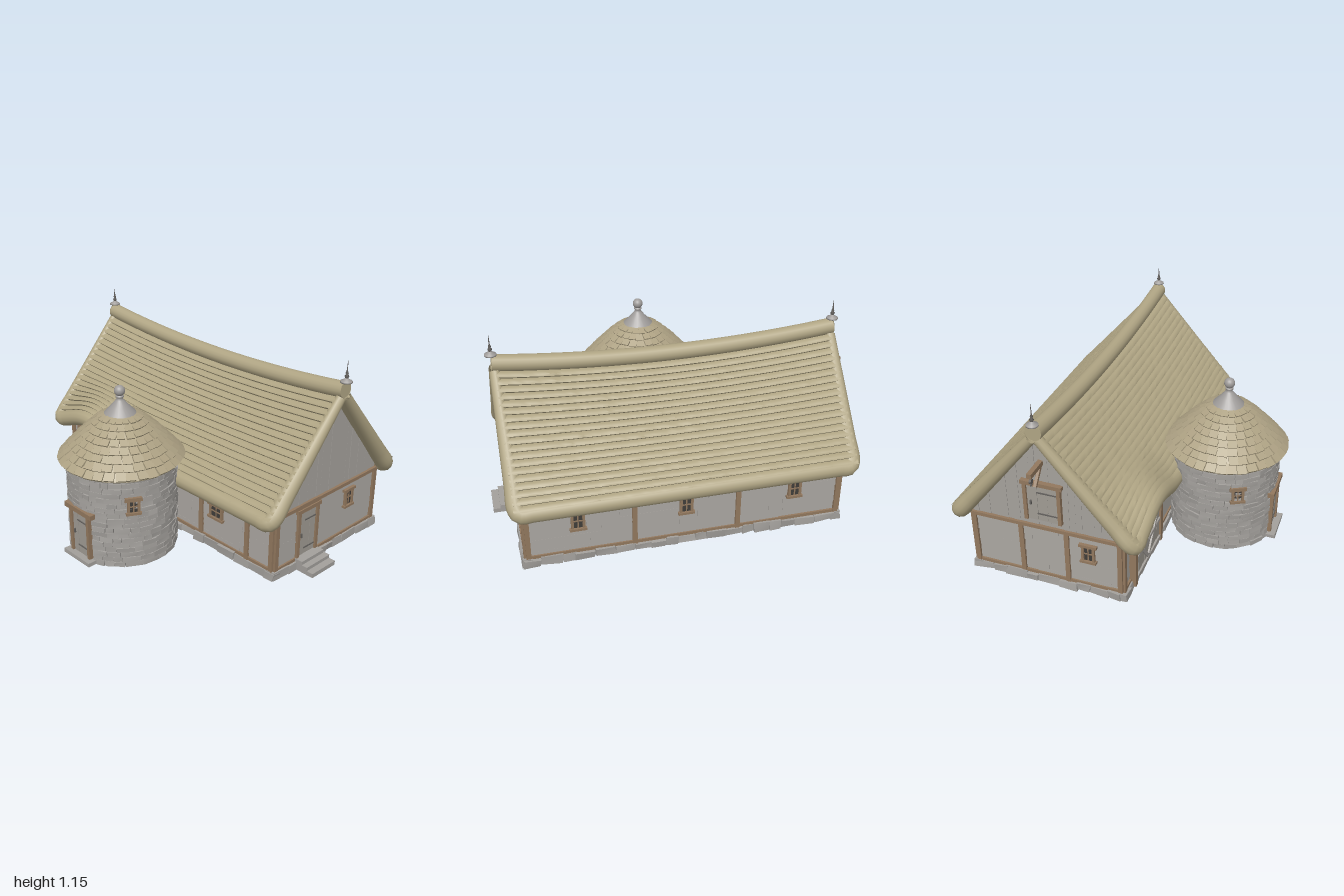
import * as THREE from 'three';
import { mergeGeometries, toCreasedNormals } from 'three/addons/utils/BufferGeometryUtils.js';

const mat = (name, color, side = THREE.FrontSide) =>
  Object.assign(new THREE.MeshStandardMaterial({ color, side }), { name });
const M = {
  thatch: mat('thatch', 0xb0a584, THREE.DoubleSide),
  shingle: mat('shingle', 0xaea284),
  stone: mat('stone', 0xa3a09c),
  mortar: mat('mortar', 0x8b8783, THREE.DoubleSide),
  plank: mat('weathered plank', 0xa5a19c),
  door: mat('door wood', 0xa09b93),
  timber: mat('timber', 0x92785e),
  lead: mat('lead', 0xa09d9b),
  iron: mat('iron', 0x63605d),
  dark: mat('dark glass', 0x403d3a),
};

let seed = 7;
const rnd = (a = 0, b = 1) => a + (b - a) * ((seed = (seed * 16807) % 2147483647) / 2147483647);

// merges the geometries of one part into a single mesh
function part(parent, name, material, geos) {
  const list = [].concat(geos).map(g => {
    const n = g.index ? g.toNonIndexed() : g;
    n.deleteAttribute('uv');
    return n;
  });
  const mesh = new THREE.Mesh(mergeGeometries(list), material);
  mesh.name = name;
  parent.add(mesh);
}
const box = (w, h, d, x = 0, y = 0, z = 0) => new THREE.BoxGeometry(w, h, d).translate(x, y, z);
const span = (x0, x1, y0, y1, z0, z1) =>
  box(x1 - x0, y1 - y0, z1 - z0, (x0 + x1) / 2, (y0 + y1) / 2, (z0 + z1) / 2);
const lathe = (prof, sides) => new THREE.LatheGeometry(prof.map(p => new THREE.Vector2(...p)), sides);
// flat bar between two points on a wall
const bar = (x0, y0, x1, y1, w, z) =>
  box(Math.hypot(x1 - x0, y1 - y0), w, 0.012).rotateZ(Math.atan2(y1 - y0, x1 - x0)).translate((x0 + x1) / 2, (y0 + y1) / 2, z);
// rough block with its eight corners nudged
function rock(w, h, d, j) {
  const g = box(w, h, d), p = g.attributes.position;
  const nudge = Array.from({ length: 8 }, () => [rnd(-j, j), rnd(-j, j), rnd(-j, j)]);
  for (let i = 0; i < p.count; i++) {
    const n = nudge[(p.getX(i) > 0) + 2 * (p.getY(i) > 0) + 4 * (p.getZ(i) > 0)];
    p.setXYZ(i, p.getX(i) + n[0], p.getY(i) + n[1], p.getZ(i) + n[2]);
  }
  g.computeVertexNormals();
  return g;
}

// ---- thatched roof ----
const RZ = -0.265, RUN = 0.473;
const sag = x => 0.055 * (1 - (x / 0.94) ** 2);
const rad = t => 0.028 + 0.022 * t;
function roofPoint(x, t, h, side) {
  const bump = Math.abs(x + 0.59) < 0.36 ? Math.cos((x + 0.59) / 0.36 * Math.PI / 2) ** 2 : 0;
  const lift = side > 0 ? 0.085 * bump * THREE.MathUtils.smoothstep(t, 0.45, 1) : 0;
  return new THREE.Vector3(x, 0.947 - 0.562 * t - sag(x) * (1 - t) + lift + 0.644 * h,
    RZ + side * (0.02 + RUN * t + 0.765 * h));
}
function grid(rows, cols, fn) {
  const pos = [], idx = [];
  for (let r = 0; r <= rows; r++) for (let c = 0; c <= cols; c++) {
    pos.push(...fn(r, c / cols).toArray());
    if (r < rows && c < cols) {
      const a = r * (cols + 1) + c, b = a + cols + 1;
      idx.push(a, b, a + 1, b, b + 1, a + 1);
    }
  }
  const g = new THREE.BufferGeometry();
  g.setAttribute('position', new THREE.Float32BufferAttribute(pos, 3));
  g.setIndex(idx);
  g.computeVertexNormals();
  return g;
}
// tube whose radius follows a rule
function roll(points, radius, seg, sides = 12) {
  const curve = new THREE.CatmullRomCurve3(points, false, 'centripetal');
  const g = new THREE.TubeGeometry(curve, seg, 1, sides), p = g.attributes.position, v = new THREE.Vector3();
  for (let i = 0; i < p.count; i++) {
    const c = curve.getPointAt(Math.floor(i / (sides + 1)) / seg);
    v.fromBufferAttribute(p, i).sub(c).multiplyScalar(radius(c)).add(c);
    p.setXYZ(i, v.x, v.y, v.z);
  }
  return g;
}
function buildRoof(root) {
  const roof = new THREE.Group();
  roof.name = 'roof';
  root.add(roof);
  const courses = 19, at = [0.02, 0.3, 0.7, 0.98], rib = [-0.016, -0.005, 0, -0.002];
  for (const side of [1, -1]) {
    const label = side > 0 ? 'front' : 'back';
    const top = grid(courses * 4 - 1, 60, (r, u) => {
      const k = r % 4, t = (Math.floor(r / 4) + at[k]) / courses;
      return roofPoint(-0.915 + 1.83 * u, t, rad(t) + rib[k] + rnd(-0.0015, 0.0015), side);
    });
    part(roof, label + 'Thatch', M.thatch, toCreasedNormals(top, 0.8));
    part(roof, label + 'ThatchUnderside', M.thatch,
      grid(6, 60, (r, u) => roofPoint(-0.905 + 1.81 * u, r / 6, -0.9 * rad(r / 6), side)));
    // rolled verge and eave in one sweep
    const path = [], verge = [0, 0.2, 0.4, 0.6, 0.8, 0.96];
    for (const t of verge) path.push(roofPoint(-0.945 + rad(t), t, 0, side));
    for (let i = -15; i <= 15; i++) path.push(roofPoint(i * 0.0585, 1, 0, side));
    for (const t of verge.reverse()) path.push(roofPoint(0.945 - rad(t), t, 0, side));
    part(roof, label + 'RolledEdge', M.thatch,
      roll(path, c => rad(THREE.MathUtils.clamp((Math.abs(c.z - RZ) - 0.02) / RUN, 0, 1)), 200));
  }
  // ridge roll
  const ridge = [];
  for (let i = 0; i <= 14; i++) {
    const x = -0.93 + i * 1.86 / 14;
    ridge.push(new THREE.Vector3(x, 0.988 - sag(x), RZ));
  }
  const caps = [1, -1].map(s => new THREE.CircleGeometry(0.044, 16).rotateY(s * Math.PI / 2).translate(s * 0.93, 0.988, RZ));
  part(roof, 'ridgeRoll', M.thatch, [roll(ridge, () => 0.044, 40, 16), ...caps]);
  // finials
  const base = [[0, 0], [0.032, 0.002], [0.031, 0.01], [0.014, 0.018], [0.009, 0.026], [0, 0.028]];
  const spike = [[0.006, 0.02], [0.012, 0.036], [0.006, 0.045], [0.008, 0.052], [0.004, 0.062], [0, 0.122]];
  for (const s of [1, -1]) {
    const finial = new THREE.Group();
    finial.name = s > 0 ? 'leftFinial' : 'rightFinial';
    finial.position.set(s * 0.93, 1.027, RZ);
    part(finial, 'base', M.lead, lathe(base, 16));
    part(finial, 'spike', M.iron, lathe(spike, 10));
    roof.add(finial);
  }
}

// ---- wall fittings; x runs along the wall, z points outward ----
function windowAt(parent, x, y, w, h, z = 0.012) {
  const g = new THREE.Group();
  g.name = 'window';
  g.position.set(x, y, z);
  part(g, 'pane', M.dark, box(w, h, 0.008));
  part(g, 'frame', M.timber, [
    box(w + 0.05, 0.016, 0.03, 0, h / 2 + 0.006), box(w + 0.04, 0.014, 0.034, 0, -h / 2 - 0.005),
    box(0.014, h, 0.024, -w / 2 - 0.005), box(0.014, h, 0.024, w / 2 + 0.005),
    box(0.007, h, 0.014), box(w, 0.007, 0.014)]);
  parent.add(g);
}
function doorAt(parent, x, y0, w, h, z) {
  const g = new THREE.Group();
  g.name = 'door';
  g.position.set(x, y0, z);
  part(g, 'leaf', M.door, [-1, 0, 1].map(i => box(w / 3 - 0.001, h, 0.013 + 0.002 * i * i, i * w / 3, h / 2)));
  part(g, 'hinges', M.iron, [0.2, 0.8].map(k => box(w * 0.65, 0.006, 0.006, w * 0.15, h * k, 0.009)).concat(box(0.008, 0.025, 0.012, -w * 0.38, h * 0.5, 0.01)));
  part(g, 'frame', M.timber, [box(0.02, h, 0.036, -w / 2 - 0.01, h / 2), box(0.02, h, 0.036, w / 2 + 0.01, h / 2), box(w + 0.06, 0.022, 0.042, 0, h + 0.011)]);
  parent.add(g);
}
function wall(root, name, half, segments, posts, pos, rot) {
  const g = new THREE.Group();
  g.name = name;
  g.position.set(...pos);
  g.rotation.y = rot;
  root.add(g);
  const planks = [], stones = [], n = 9, hh = 0.32 / n;
  for (const [a, b] of segments) {
    planks.push(span(a, b, 0.045, 0.385, -0.03, -0.006));
    for (let i = 0; i < n; i++) for (let x = a; x < b - 0.001;) {
      const e = b - x < 0.4 ? b : Math.min(b, x + rnd(0.3, 0.6));
      planks.push(box(e - x - 0.001, hh - 0.001, 0.016).rotateX(-0.1).translate((x + e) / 2, 0.05 + (i + 0.5) * hh, rnd(-0.002, 0.002)));
      x = e;
    }
  }
  part(g, 'planking', M.plank, planks);
  for (let x = -half - 0.015; x < half;) {
    const w = Math.min(rnd(0.06, 0.13), half + 0.015 - x), h = rnd(0.038, 0.05);
    stones.push(rock(w, h, 0.055, 0.006).translate(x + w / 2, h / 2 + 0.005, rnd(-0.006, 0.006)));
    x += w;
  }
  part(g, 'foundationStones', M.stone, stones);
  part(g, 'posts', M.timber, posts.map(x => box(0.026, 0.33, 0.034, x, 0.21, 0.004)));
  part(g, 'rails', M.timber, segments.flatMap(([a, b]) => [span(a, b, 0.362, 0.382, -0.015, 0.022), span(a, b, 0.048, 0.066, -0.015, 0.018)]));
  return g;
}
function gable(g) {
  const top = l => 0.935 - 1.26 * Math.abs(l), planks = [];
  const panel = (points, depth, z) => planks.push(new THREE.ExtrudeGeometry(
    new THREE.Shape(points.map(p => new THREE.Vector2(...p))), { depth, bevelEnabled: false }).translate(0, 0, z));
  for (let i = -12; i < 12; i++) {
    const a = i * 0.035, b = a + 0.0345;
    panel([[a, 0.375], [b, 0.375], [b, top(b)], [a, top(a)]], 0.02, -0.015 + rnd(0, 0.004));
  }
  panel([[-0.42, 0.375], [0.42, 0.375], [0, 0.92]], 0.024, -0.026);
  part(g, 'gablePlanks', M.plank, planks);
}

function buildHouse(root) {
  // front with double barn door
  const front = wall(root, 'frontWall', 0.87, [[-0.86, -0.77], [-0.33, 0.86]], [-0.855, 0.855, 0.68, 0.33], [0, 0, 0.15], 0);
  windowAt(front, 0.45, 0.24, 0.075, 0.07);
  const leaf = [], brace = [];
  for (let i = 0; i < 8; i++) leaf.push(span(-0.745 + i * 0.048, -0.698 + i * 0.048, 0.012, 0.355, 0.01, 0.03 + 0.002 * (i % 2)));
  for (const [a, b] of [[-0.742, -0.556], [-0.55, -0.364]]) {
    brace.push(bar(a, 0.05, b, 0.05, 0.025, 0.036), bar(a, 0.31, b, 0.31, 0.025, 0.036), bar(a, 0.18, b, 0.18, 0.02, 0.035));
    brace.push(a < -0.6 ? bar(a, 0.3, b, 0.06, 0.02, 0.034) : bar(a, 0.06, b, 0.3, 0.02, 0.034));
  }
  part(front, 'barnDoor', M.door, leaf);
  part(front, 'barnDoorBraces', M.plank, brace);
  part(front, 'barnDoorHead', M.plank, span(-0.78, -0.32, 0.36, 0.45, -0.02, 0.015));
  part(front, 'barnDoorFrame', M.timber, [span(-0.775, -0.745, 0.02, 0.37, -0.02, 0.045), span(-0.362, -0.332, 0.02, 0.37, -0.02, 0.045), span(-0.775, -0.332, 0.355, 0.375, -0.02, 0.045)]);

  const back = wall(root, 'backWall', 0.87, [[-0.86, 0.86]], [-0.855, -0.29, 0.28, 0.855], [0, 0, -0.69], Math.PI);
  for (const x of [-0.59, -0.01, 0.6]) windowAt(back, x, 0.25, 0.05, 0.09);

  // left end with door and steps
  const left = wall(root, 'leftEndWall', 0.43, [[-0.42, -0.25], [-0.09, 0.42]], [-0.415, 0.415], [0.86, 0, -0.27], Math.PI / 2);
  doorAt(left, -0.17, 0.045, 0.13, 0.29, 0.006);
  part(left, 'doorHead', M.timber, span(-0.27, -0.07, 0.355, 0.382, -0.02, 0.02));
  windowAt(left, 0.18, 0.275, 0.045, 0.09);
  gable(left);
  part(root, 'doorSteps', M.stone, [span(0.86, 0.925, 0, 0.065, -0.19, -0.01), span(0.92, 0.96, 0, 0.045, -0.2, -0.01), span(0.95, 1, 0, 0.025, -0.2, -0.01)]);

  // right end with hayloft door and hoist
  const right = wall(root, 'rightEndWall', 0.43, [[-0.42, 0.42]], [-0.415, -0.14, 0.12, 0.415], [-0.86, 0, -0.27], -Math.PI / 2);
  windowAt(right, 0.24, 0.265, 0.05, 0.09);
  gable(right);
  doorAt(right, 0, 0.42, 0.17, 0.22, 0.012);
  part(right, 'hoistBeam', M.timber, [span(-0.013, 0.013, 0.765, 0.791, -0.02, 0.14), box(0.016, 0.016, 0.12).rotateX(0.9).translate(0, 0.725, 0.045)]);
  part(right, 'hoistHook', M.iron, [box(0.006, 0.03, 0.006, 0, 0.755, 0.12), new THREE.CylinderGeometry(0.014, 0.014, 0.012, 12).rotateZ(Math.PI / 2).translate(0, 0.738, 0.12), new THREE.TorusGeometry(0.008, 0.003, 6, 10).rotateY(Math.PI / 2).translate(0, 0.72, 0.12)]);

  // ceiling and simple furnishings
  part(root, 'ceiling', M.plank, box(1.7, 0.012, 0.82, 0, 0.365, -0.27));
  part(root, 'furnishings', M.plank, [span(-0.78, -0.34, 0.012, 0.35, -0.23, 0.11), span(-0.8, -0.66, 0.06, 0.25, -0.5, -0.36), span(0.55, 0.72, 0.05, 0.17, -0.1, 0.05)]);
}

function buildTower(root) {
  const tower = new THREE.Group();
  tower.name = 'tower';
  tower.position.set(0.003, 0, 0.46);
  root.add(tower);
  // stone courses around a mortar core, with a gap for the door
  const stones = [], rows = 18, hh = 0.535 / rows, gap = 0.3;
  for (let i = 0; i < rows; i++) {
    const low = i * hh < 0.28, start = low ? gap : rnd(0, 0.2), end = start + (low ? Math.PI * 2 - 2 * gap : Math.PI * 2);
    for (let a = start; a < end - 0.01;) {
      const da = end - a < 0.35 ? end - a : rnd(0.14, 0.33);
      stones.push(rock(da * 0.306 - 0.002, hh - 0.001, 0.04, 0.003).translate(0, (i + 0.5) * hh, rnd(0.282, 0.287)).rotateY(a + da / 2));
      a += da;
    }
  }
  part(tower, 'wallStones', M.stone, stones);
  part(tower, 'wallCore', M.mortar, new THREE.CylinderGeometry(0.291, 0.291, 0.53, 40, 1, true).translate(0, 0.27, 0));
  // door, step and side windows
  doorAt(tower, 0, 0.02, 0.125, 0.26, 0.292);
  part(tower, 'doorLintel', M.timber, box(0.23, 0.028, 0.05, 0, 0.297, 0.292));
  part(tower, 'doorStep', M.stone, rock(0.22, 0.02, 0.08, 0.002).translate(0, 0.012, 0.3));
  for (const s of [1, -1]) {
    const side = new THREE.Group();
    side.name = s > 0 ? 'leftWindow' : 'rightWindow';
    side.rotation.y = s * 1.08;
    windowAt(side, 0, 0.37, 0.045, 0.07, 0.301);
    part(side, 'lintel', M.timber, box(0.09, 0.018, 0.04, 0, 0.416, 0.297));
    tower.add(side);
  }
  // shingled roof, slightly convex
  const R = s => 0.335 - 0.25 * s, Y = s => 0.537 + 0.24 * (1 - (1 - s) ** 1.2);
  const prof = [[0.27, 0.525], [0.325, 0.525]];
  for (let i = 0; i <= 8; i++) prof.push([R(i / 8) - 0.008, Y(i / 8) - 0.006]);
  part(tower, 'roofCore', M.shingle, lathe(prof, 40));
  const shingles = [], tiers = 8;
  for (let k = 0; k < tiers; k++) {
    const s = k / tiers, e = s + 1 / tiers, n = Math.round(36 - 20 * s);
    const len = Math.hypot(R(e) - R(s), Y(e) - Y(s)), tilt = Math.atan2(Y(e) - Y(s), R(s) - R(e));
    for (let i = 0; i < n; i++) {
      const w = Math.PI * 2 * R(s) / n * rnd(0.86, 0.99);
      shingles.push(box(w, 0.012, len * rnd(1.1, 1.35)).rotateX(tilt - rnd(0.14, 0.24))
        .translate(0, (Y(s) + Y(e)) / 2 + 0.004, (R(s) + R(e)) / 2 + 0.002).rotateY((i + (k % 2) / 2 + rnd(-0.1, 0.1)) / n * Math.PI * 2));
    }
  }
  part(tower, 'roofShingles', M.shingle, shingles);
  const cap = [[0.092, 0.77], [0.088, 0.783], [0.05, 0.822], [0.022, 0.856], [0.015, 0.866], [0.022, 0.872], [0.022, 0.88], [0.012, 0.884], [0.012, 0.9]];
  part(tower, 'roofCap', M.lead, [lathe(cap, 24), new THREE.SphereGeometry(0.03, 20, 14).translate(0, 0.908, 0)]);
}

export function createModel() {
  const root = new THREE.Group();
  root.name = 'thatchedBarn';
  buildHouse(root);
  buildRoof(root);
  buildTower(root);
  return root;
}
